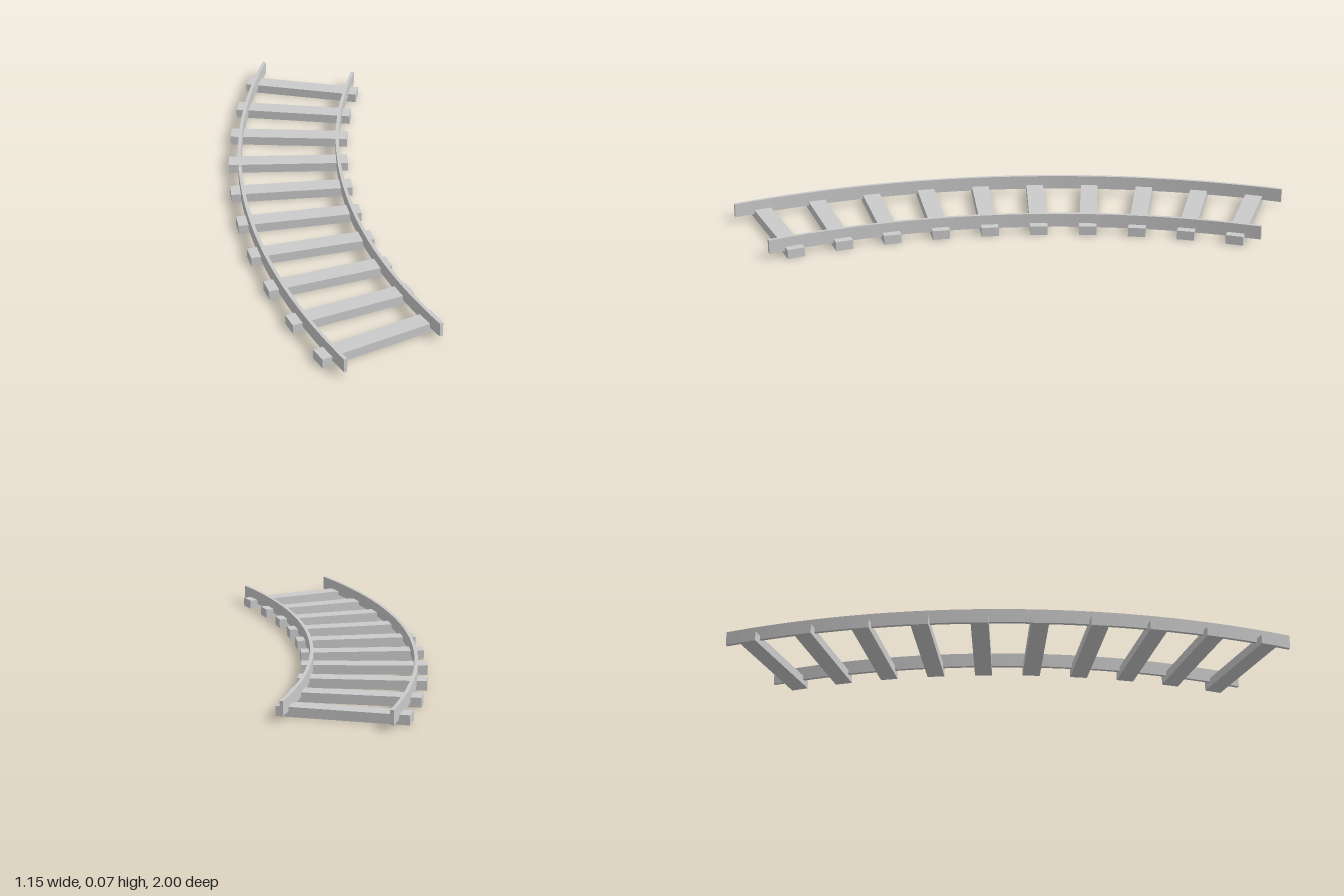
import * as THREE from 'three';
import { toCreasedNormals } from 'three/addons/utils/BufferGeometryUtils.js';

// The track is a 45 degree arc around a centre at (CX, CZ)
const CX = 2.288, CZ = 1, SWEEP = Math.PI / 4;
const SLEEPERS = 10, MID_RADIUS = 2.628;

export function createModel() {
  const group = new THREE.Group();
  group.name = 'curvedTrack';
  const material = new THREE.MeshStandardMaterial({ color: 0xcccccc });

  // Rails: thin ring sectors extruded upwards
  const addRail = (name, inner, outer) => {
    const shape = new THREE.Shape();
    shape.absarc(0, 0, outer, Math.PI, Math.PI - SWEEP, true);
    shape.absarc(0, 0, inner, Math.PI - SWEEP, Math.PI, false);
    shape.closePath();
    const geometry = new THREE.ExtrudeGeometry(shape, { depth: 0.054, bevelEnabled: false, curveSegments: 40 });
    geometry.rotateX(-Math.PI / 2);
    const rail = new THREE.Mesh(toCreasedNormals(geometry, 0.5), material);
    rail.name = name;
    rail.position.set(CX, 0.02, CZ);
    group.add(rail);
  };
  addRail('outerRail', 2.815, 2.828);
  addRail('innerRail', 2.423, 2.436);

  // Sleepers: evenly spaced planks pointing at the arc centre
  const plank = new THREE.BoxGeometry(0.475, 0.036, 0.067);
  for (let i = 0; i < SLEEPERS; i++) {
    const angle = (i + 0.5) / SLEEPERS * SWEEP;
    const sleeper = new THREE.Mesh(plank, material);
    sleeper.name = `sleeper${i + 1}`;
    sleeper.position.set(CX - MID_RADIUS * Math.cos(angle), 0.018, CZ - MID_RADIUS * Math.sin(angle));
    sleeper.rotation.y = -angle;
    group.add(sleeper);
  }
  return group;
}
